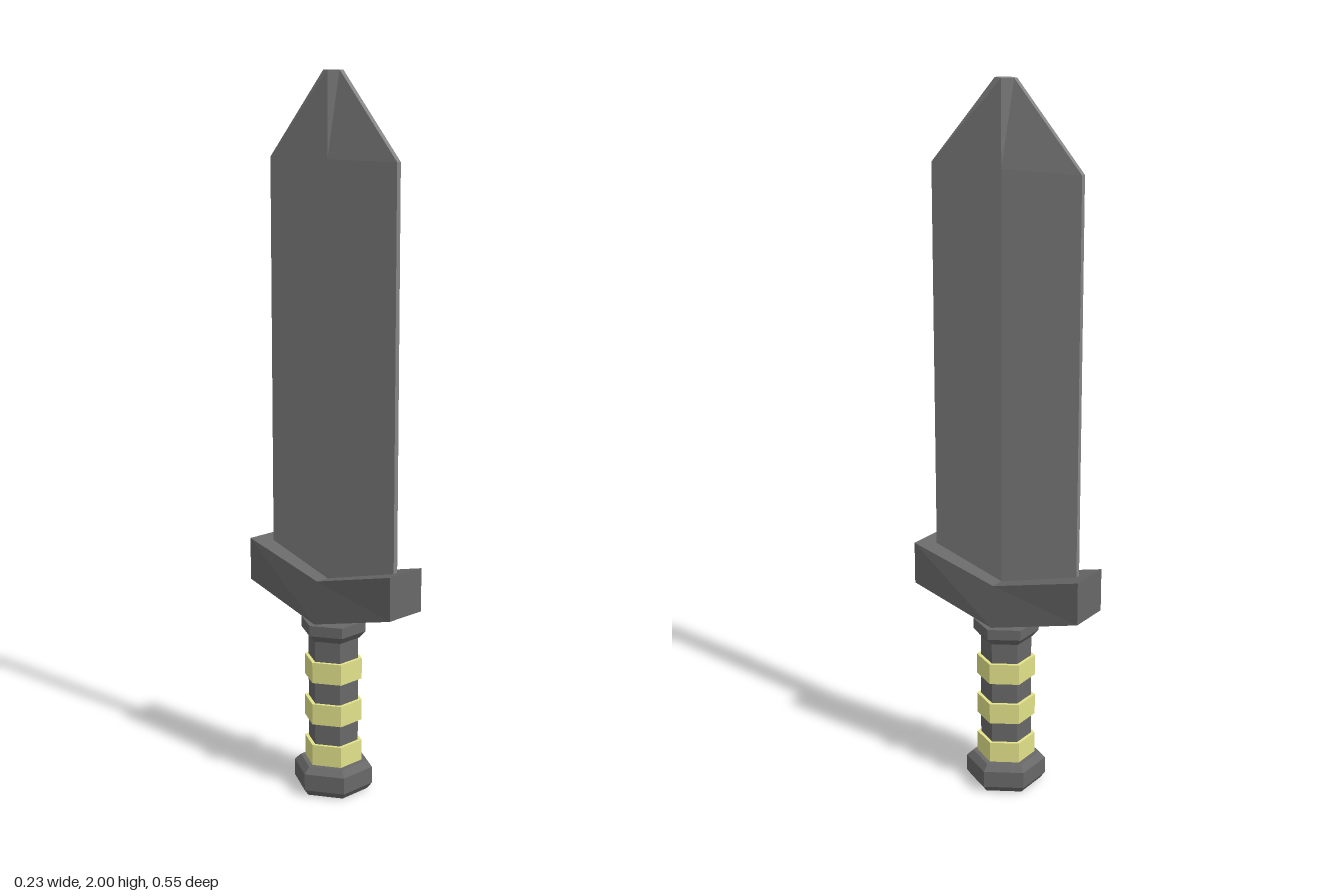
import * as THREE from 'three';

const material = (color) => new THREE.MeshStandardMaterial({ color, flatShading: true });

// Skin a row of equal-sized cross-sections and close both ends.
// Corners run counter-clockwise as seen from the far end.
function loft(sections) {
  const n = sections[0].length;
  const index = [];
  for (let s = 0; s < sections.length - 1; s++) {
    for (let i = 0; i < n; i++) {
      const a = s * n + i, b = s * n + (i + 1) % n;
      index.push(a, b, b + n, a, b + n, a + n);
    }
  }
  const last = (sections.length - 1) * n;
  for (let i = 1; i < n - 1; i++) {
    index.push(0, i + 1, i, last, last + i, last + i + 1);
  }
  const geometry = new THREE.BufferGeometry();
  geometry.setAttribute('position', new THREE.Float32BufferAttribute(sections.flat(2), 3));
  geometry.setIndex(index);
  const flat = geometry.toNonIndexed();
  flat.computeVertexNormals();
  return flat;
}

// Six-sided turned part with corners on the x axis; profile is [radius, y] upwards.
function hexTurned(profile) {
  const points = profile.map(([r, y]) => new THREE.Vector2(r, y));
  return new THREE.LatheGeometry(points, 6, Math.PI / 2);
}

export function createModel() {
  const group = new THREE.Group();
  const steel = material(0x858585);
  const darkSteel = material(0x686868);
  const brass = material(0xe2e28a);

  const add = (name, geometry, mat) => {
    const mesh = new THREE.Mesh(geometry, mat);
    mesh.name = name;
    group.add(mesh);
  };

  // Blade: thick spine, thin blunt edges, clipped tip
  const bladeSection = (y, w) => {
    const spine = 0.022, edge = 0.007;
    return [
      [spine, y, 0], [edge, y, -w], [-edge, y, -w],
      [-spine, y, 0], [-edge, y, w], [edge, y, w],
    ];
  };
  add('blade', loft([
    bladeSection(0.59, 0.235), bladeSection(1.77, 0.235), bladeSection(2, 0.03),
  ]), steel);

  // Guard: V-shaped bar, flared at the bottom centre
  const guardSection = (z, bottom, top, halfBottom, halfTop) => [
    [-halfBottom, bottom, z], [halfBottom, bottom, z],
    [halfTop, top, z], [-halfTop, top, z],
  ];
  add('guard', loft([
    guardSection(-0.273, 0.57, 0.692, 0.062, 0.062),
    guardSection(0, 0.5, 0.622, 0.075, 0.064),
    guardSection(0.273, 0.57, 0.692, 0.062, 0.062),
  ]), darkSteel);

  // Grip, collar under the guard and pommel
  add('grip', hexTurned([[0, 0.07], [0.072, 0.07], [0.072, 0.46], [0, 0.46]]), darkSteel);
  add('collar', hexTurned([[0, 0.45], [0.075, 0.45], [0.093, 0.47], [0.093, 0.5], [0, 0.5]]), darkSteel);
  add('pommel', hexTurned([
    [0, 0], [0.1, 0], [0.114, 0.018], [0.114, 0.066], [0.096, 0.083], [0, 0.083],
  ]), darkSteel);

  // Bands around the grip
  [0.115, 0.237, 0.36].forEach((y, i) => {
    add(`gripBand${i + 1}`, hexTurned([
      [0.06, y - 0.03], [0.083, y - 0.03], [0.083, y + 0.03], [0.06, y + 0.03],
    ]), brass);
  });

  return group;
}
